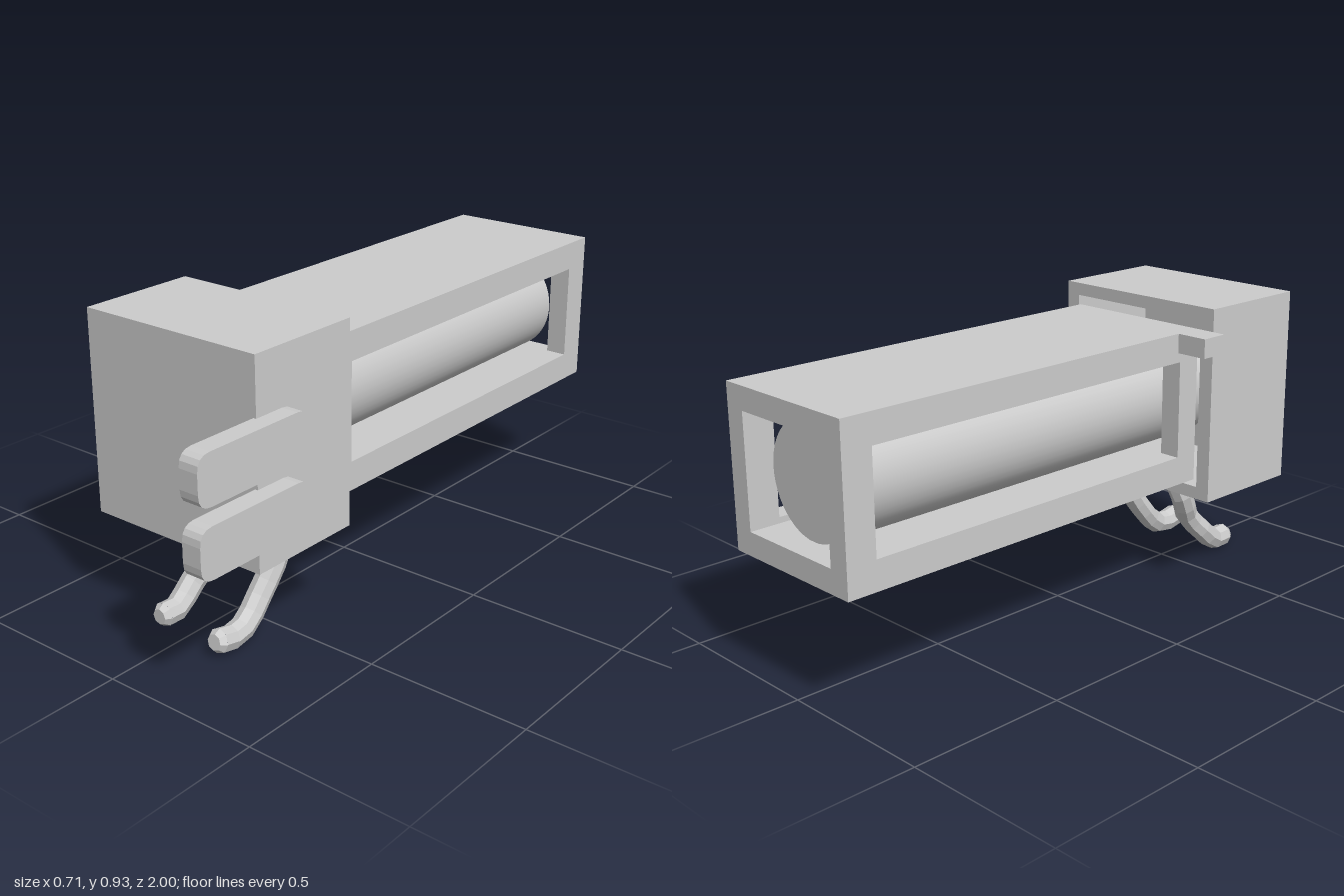
import * as THREE from 'three';

const material = new THREE.MeshStandardMaterial({ color: 0xcccccc });
const flat = new THREE.MeshStandardMaterial({ color: 0xcccccc, flatShading: true });

function add(parent, name, geometry, mat = material) {
  const mesh = new THREE.Mesh(geometry, mat);
  mesh.name = name;
  parent.add(mesh);
  return mesh;
}

// Box given by its limits on each axis
function box(parent, name, [x0, x1], [y0, y1], [z0, z1]) {
  const mesh = add(parent, name, new THREE.BoxGeometry(x1 - x0, y1 - y0, z1 - z0));
  mesh.position.set((x0 + x1) / 2, (y0 + y1) / 2, (z0 + z1) / 2);
  return mesh;
}

// Rectangle outline for shapes and holes
function rect(PathType, [a0, a1], [b0, b1]) {
  return new PathType([[a0, b0], [a1, b0], [a1, b1], [a0, b1]].map(p => new THREE.Vector2(...p)));
}

// Extrudes a (z, y) outline along x, from x0 to x1
function extrudeX(shape, x0, x1) {
  const geo = new THREE.ExtrudeGeometry(shape, { depth: x1 - x0, bevelEnabled: false, curveSegments: 4 });
  geo.rotateY(Math.PI / 2).scale(1, 1, 1);
  // the turn maps shape x to -z, so outlines are drawn with -z
  return geo.translate(x0, 0, 0);
}

// Flat prong with rounded corners
function prongShape([z0, z1], [y0, y1], r) {
  const s = new THREE.Shape();
  const a = -z1, b = -z0;
  s.moveTo(a + r, y0);
  s.lineTo(b - r, y0);
  s.quadraticCurveTo(b, y0, b, y0 + r);
  s.lineTo(b, y1 - r);
  s.quadraticCurveTo(b, y1, b - r, y1);
  s.lineTo(a + r, y1);
  s.quadraticCurveTo(a, y1, a, y1 - r);
  s.lineTo(a, y0 + r);
  s.quadraticCurveTo(a, y0, a + r, y0);
  return s;
}

// Bent wire with a faceted, blunt tip
function wire(parent, name, points) {
  const group = new THREE.Group();
  group.name = name;
  const r = 0.037;
  const curve = new THREE.CatmullRomCurve3(points.map(p => new THREE.Vector3(...p)));
  add(group, 'wireBody', new THREE.TubeGeometry(curve, 9, r, 8, false), flat);
  const tip = add(group, 'wireTip', new THREE.CylinderGeometry(r * 0.65, r, 0.018, 8), flat);
  const dir = curve.getTangent(1);
  tip.position.copy(curve.getPoint(1)).addScaledVector(dir, 0.009);
  tip.quaternion.setFromUnitVectors(new THREE.Vector3(0, 1, 0), dir);
  parent.add(group);
}

export function createModel() {
  const model = new THREE.Group();
  model.name = 'cartridgeHolder';

  // Long case: top and bottom plates between two windowed side walls
  const caseGroup = new THREE.Group();
  caseGroup.name = 'case';
  model.add(caseGroup);
  const wall = 0.068, left = 0.245, right = -0.255;
  const wallShape = rect(THREE.Shape, [-0.35, 1], [0.375, 0.86]);
  wallShape.holes.push(rect(THREE.Path, [-0.27, 0.905], [0.465, 0.77]));
  add(caseGroup, 'leftWall', extrudeX(wallShape, left - wall, left));
  add(caseGroup, 'rightWall', extrudeX(wallShape, right, right + wall));
  box(caseGroup, 'topPlate', [right + wall, left - wall], [0.79, 0.86], [-1, 0.35]);
  box(caseGroup, 'bottomPlate', [right + wall, left - wall], [0.375, 0.447], [-1, 0.35]);
  box(caseGroup, 'sideTab', [-0.357, right], [0.8, 0.86], [0.26, 0.35]);

  // Round cartridge inside the case
  const cartridge = add(model, 'cartridge', new THREE.CylinderGeometry(0.172, 0.172, 1.44, 48));
  cartridge.rotation.x = Math.PI / 2;
  cartridge.position.set(-0.005, 0.618, -0.2);

  // Head: hollow cap, open at the back
  const head = new THREE.Group();
  head.name = 'head';
  model.add(head);
  const rim = rect(THREE.Shape, [-0.315, 0.302], [0.312, 0.93]);
  rim.holes.push(rect(THREE.Path, [-0.267, 0.254], [0.352, 0.89]));
  const shell = new THREE.ExtrudeGeometry(rim, { depth: 0.33, bevelEnabled: false });
  add(head, 'headShell', shell.translate(0, 0, 0.35));
  box(head, 'headFront', [-0.315, 0.302], [0.312, 0.93], [0.68, 0.73]);

  // Pair of flat prongs on the left side
  for (const y of [[0.41, 0.558], [0.61, 0.757]]) {
    add(model, 'prong', extrudeX(prongShape([0.585, 1], y, 0.045), 0.293, 0.355));
  }

  // Two bent wires under the head
  wire(model, 'rightWire', [
    [-0.085, 0.34, 0.44], [-0.105, 0.24, 0.48], [-0.085, 0.16, 0.53],
    [-0.095, 0.09, 0.6], [-0.09, 0.045, 0.66], [-0.09, 0.045, 0.715]]);
  wire(model, 'leftWire', [
    [0.138, 0.34, 0.44], [0.14, 0.22, 0.48], [0.135, 0.12, 0.55],
    [0.14, 0.055, 0.62], [0.142, 0.041, 0.67], [0.142, 0.052, 0.732]]);

  return model;
}
